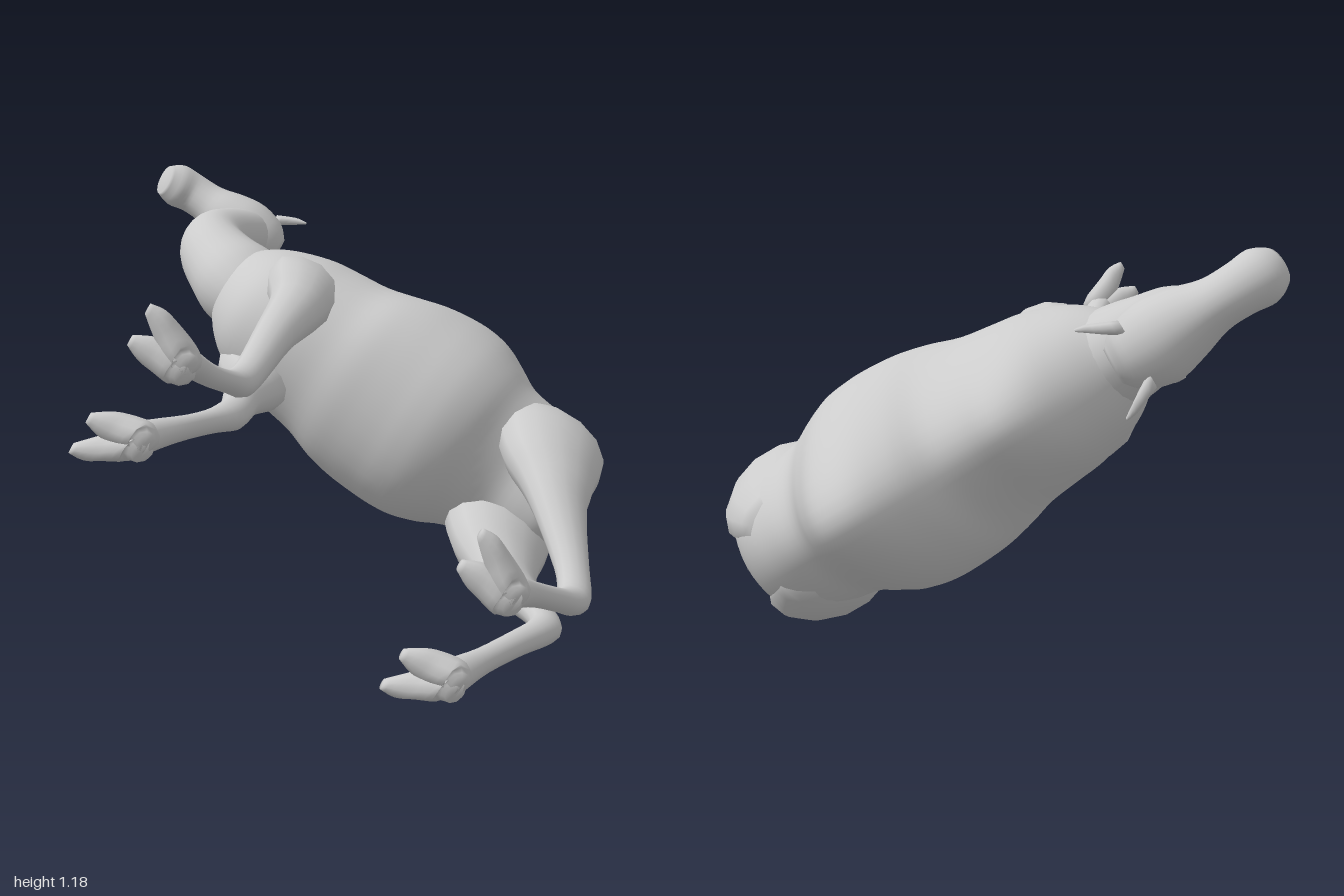
import * as THREE from 'three';

const material = new THREE.MeshStandardMaterial({ color: 0xcccccc, side: THREE.DoubleSide });

// Catmull-Rom interpolation of whole rows of numbers
function sample(rows, s) {
  const last = rows.length - 1;
  const i = Math.min(Math.floor(s), last - 1), f = s - i;
  const at = (k) => rows[Math.max(0, Math.min(last, k))];
  const [a, b, c, d] = [at(i - 1), at(i), at(i + 1), at(i + 2)];
  return b.map((_, k) => 0.5 * (2 * b[k] + (c[k] - a[k]) * f
    + (2 * a[k] - 5 * b[k] + 4 * c[k] - d[k]) * f * f
    + (3 * b[k] - a[k] - 3 * c[k] + d[k]) * f * f * f));
}

// Skin of oval sections; row = [along, up, side, radius in plane, radius sideways, pinch]
function loft(name, rows, { sides = 16, steps = 4, upright = false } = {}) {
  const n = (rows.length - 1) * steps;
  const rings = Array.from({ length: n + 1 }, (_, i) => sample(rows, i / steps));
  const positions = [], index = [];
  const addRing = (r, ux, uy, scale) => {
    for (let j = 0; j < sides; j++) {
      const a = (j / sides) * Math.PI * 2;
      const p = Math.cos(a) * r[3] * scale;
      const q = Math.sin(a) * r[4] * scale * (1 - (r[5] || 0) * Math.cos(a));
      positions.push(r[0] + ux * p, r[1] + uy * p, r[2] + q);
    }
  };
  rings.forEach((r, i) => {
    const a = rings[Math.max(0, i - 1)], b = rings[Math.min(n, i + 1)];
    const dx = b[0] - a[0], dy = b[1] - a[1], len = Math.hypot(dx, dy) || 1;
    const ux = upright ? 0 : -dy / len, uy = upright ? 1 : dx / len;
    if (i === 0) addRing(r, ux, uy, 0.001);
    addRing(r, ux, uy, 1);
    if (i === n) addRing(r, ux, uy, 0.001);
  });
  for (let i = 0; i < n + 2; i++) {
    for (let j = 0; j < sides; j++) {
      const k = (j + 1) % sides;
      const a = i * sides + j, b = i * sides + k, c = a + sides, d = b + sides;
      index.push(a, b, c, b, d, c);
    }
  }
  const geometry = new THREE.BufferGeometry();
  geometry.setAttribute('position', new THREE.Float32BufferAttribute(positions, 3));
  geometry.setIndex(index);
  geometry.computeVertexNormals();
  const mesh = new THREE.Mesh(geometry, material);
  mesh.name = name;
  return mesh;
}

// Cloven foot: two splayed toes with a shared heel
function foot(name, t, l, toeOut) {
  const group = new THREE.Group();
  group.name = name;
  for (const k of [-1, 1]) {
    group.add(loft('toe', [
      [t + 0.035, -0.968, l + k * 0.014, 0.018, 0.025],
      [t + 0.015, -0.945, l + k * 0.018, 0.05, 0.04],
      [t - 0.04, -0.953, l + k * 0.026 + toeOut * 0.4, 0.045, 0.042],
      [t - 0.08, -0.97, l + k * 0.038 + toeOut * 0.75, 0.029, 0.034],
      [t - 0.118, -0.984, l + k * 0.046 + toeOut, 0.014, 0.014],
    ], { sides: 10, steps: 3 }));
  }
  return group;
}

export function createModel() {
  const animal = new THREE.Group();
  animal.name = 'camel';

  // Trunk with two humps: [along, top, bottom, half width, pinch]
  const trunk = [
    [-0.5, 0.4, 0.28, 0.05, 0], [-0.46, 0.45, 0.19, 0.115, 0],
    [-0.4, 0.5, 0.1, 0.165, 0], [-0.33, 0.57, 0.04, 0.2, 0.08],
    [-0.24, 0.665, 0.015, 0.225, 0.2], [-0.15, 0.705, 0.01, 0.235, 0.26],
    [-0.05, 0.685, 0.01, 0.25, 0.25], [0.04, 0.7, 0, 0.275, 0.28],
    [0.12, 0.79, 0, 0.29, 0.33], [0.2, 0.865, 0, 0.295, 0.36],
    [0.27, 0.885, 0, 0.295, 0.36], [0.34, 0.86, 0.01, 0.285, 0.36],
    [0.41, 0.765, 0.04, 0.262, 0.33], [0.48, 0.655, 0.09, 0.235, 0.24],
    [0.57, 0.62, 0.13, 0.22, 0.17], [0.66, 0.575, 0.13, 0.205, 0.1],
    [0.735, 0.5, 0.14, 0.165, 0], [0.785, 0.38, 0.2, 0.07, 0],
  ].map(([t, top, bottom, w, pinch]) => [t, (top + bottom) / 2, 0, (top - bottom) / 2, w, pinch]);
  animal.add(loft('trunk', trunk, { sides: 40, upright: true }));

  // Neck sweeping forward and up
  animal.add(loft('neck', [
    [-0.3, 0.29, 0, 0.15, 0.11], [-0.43, 0.335, 0, 0.162, 0.135],
    [-0.535, 0.395, 0, 0.13, 0.12], [-0.615, 0.47, 0, 0.107, 0.108],
    [-0.66, 0.57, 0, 0.097, 0.1], [-0.67, 0.68, 0, 0.093, 0.095],
    [-0.66, 0.8, 0, 0.09, 0.09], [-0.65, 0.9, 0, 0.08, 0.08],
  ], { sides: 24 }));

  // Head with drooping muzzle
  animal.add(loft('head', [
    [-0.55, 0.9, 0, 0.045, 0.045], [-0.59, 0.893, 0, 0.088, 0.085],
    [-0.67, 0.888, 0, 0.11, 0.106], [-0.75, 0.885, 0.005, 0.1, 0.092],
    [-0.83, 0.885, 0.008, 0.078, 0.068], [-0.9, 0.876, 0.01, 0.068, 0.066],
    [-0.955, 0.848, 0.01, 0.066, 0.071], [-0.99, 0.818, 0.01, 0.04, 0.05],
  ], { sides: 20 }));

  for (const s of [-1, 1]) {
    animal.add(loft(s > 0 ? 'leftEar' : 'rightEar', [
      [-0.63, 0.955, s * 0.07, 0.022, 0.02], [-0.59, 0.965, s * 0.092, 0.018, 0.016],
      [-0.56, 0.962, s * 0.108, 0.012, 0.012], [-0.53, 0.96, s * 0.12, 0.004, 0.004],
    ], { sides: 8, steps: 2 }));
  }

  // Front legs, their shoulders sunk into the chest
  const frontTop = (s) => [[-0.26, 0.42, s * 0.1, 0.08, 0.05],
    [-0.245, 0.28, s * 0.135, 0.13, 0.078], [-0.215, 0.12, s * 0.15, 0.115, 0.085]];
  animal.add(loft('leftFrontLeg', [...frontTop(1),
    [-0.178, 0, 0.138, 0.085, 0.07], [-0.135, -0.25, 0.108, 0.058, 0.05],
    [-0.1, -0.42, 0.045, 0.046, 0.04], [-0.088, -0.52, 0.03, 0.045, 0.037],
    [-0.095, -0.62, 0.048, 0.034, 0.031], [-0.11, -0.76, 0.083, 0.033, 0.032],
    [-0.135, -0.88, 0.12, 0.042, 0.038], [-0.14, -0.96, 0.13, 0.045, 0.042],
  ], { sides: 12, steps: 3 }));
  animal.add(loft('rightFrontLeg', [...frontTop(-1),
    [-0.16, 0, -0.125, 0.085, 0.07], [-0.13, -0.22, -0.105, 0.058, 0.05],
    [-0.08, -0.42, -0.07, 0.046, 0.04], [-0.066, -0.52, -0.063, 0.045, 0.037],
    [-0.074, -0.63, -0.064, 0.034, 0.031], [-0.095, -0.76, -0.072, 0.033, 0.032],
    [-0.125, -0.88, -0.09, 0.042, 0.038], [-0.135, -0.96, -0.1, 0.045, 0.042],
  ], { sides: 12, steps: 3 }));
  animal.add(foot('leftFrontFoot', -0.145, 0.13, 0.035));
  animal.add(foot('rightFrontFoot', -0.14, -0.1, -0.055));

  // Hind legs with heavy thighs
  const thigh = (s) => [[0.56, 0.54, s * 0.08, 0.09, 0.06], [0.59, 0.42, s * 0.115, 0.165, 0.1],
    [0.625, 0.25, s * 0.145, 0.168, 0.115], [0.665, 0.1, s * 0.147, 0.147, 0.1]];
  animal.add(loft('leftHindLeg', [...thigh(1),
    [0.71, 0, 0.14, 0.117, 0.082], [0.765, -0.11, 0.12, 0.084, 0.062],
    [0.885, -0.29, 0.065, 0.052, 0.042], [0.94, -0.4, 0.038, 0.047, 0.036],
    [0.94, -0.48, 0.04, 0.04, 0.034], [0.915, -0.61, 0.07, 0.034, 0.031],
    [0.87, -0.77, 0.103, 0.033, 0.032], [0.84, -0.88, 0.122, 0.042, 0.038],
    [0.825, -0.96, 0.128, 0.045, 0.042],
  ], { sides: 14, steps: 3 }));
  animal.add(loft('rightHindLeg', [...thigh(-1),
    [0.71, 0, -0.15, 0.117, 0.082], [0.765, -0.11, -0.143, 0.084, 0.062],
    [0.87, -0.29, -0.098, 0.052, 0.042], [0.92, -0.4, -0.075, 0.047, 0.036],
    [0.922, -0.48, -0.074, 0.04, 0.034], [0.894, -0.61, -0.088, 0.034, 0.031],
    [0.858, -0.77, -0.113, 0.033, 0.032], [0.835, -0.88, -0.128, 0.042, 0.038],
    [0.825, -0.96, -0.135, 0.045, 0.042],
  ], { sides: 14, steps: 3 }));
  animal.add(foot('leftHindFoot', 0.82, 0.128, 0.05));
  animal.add(foot('rightHindFoot', 0.82, -0.135, -0.045));

  // Thin hanging tail
  animal.add(loft('tail', [
    [0.73, 0.44, 0, 0.025, 0.025], [0.785, 0.36, 0, 0.017, 0.017],
    [0.81, 0.23, 0, 0.01, 0.011], [0.82, 0.13, 0, 0.01, 0.012],
    [0.825, 0.05, 0, 0.004, 0.004],
  ], { sides: 8 }));

  // Lay the animal so its feet point to +z and its length runs diagonally in x and y
  const c = 0.853, s = 0.522;
  const basis = new THREE.Matrix4().makeBasis(
    new THREE.Vector3(c, -s, 0), new THREE.Vector3(0, 0, -1), new THREE.Vector3(s, c, 0));
  animal.quaternion.setFromRotationMatrix(basis);
  animal.position.set(0, 0.62, 0);

  const model = new THREE.Group();
  model.name = 'model';
  model.add(animal);
  return model;
}
